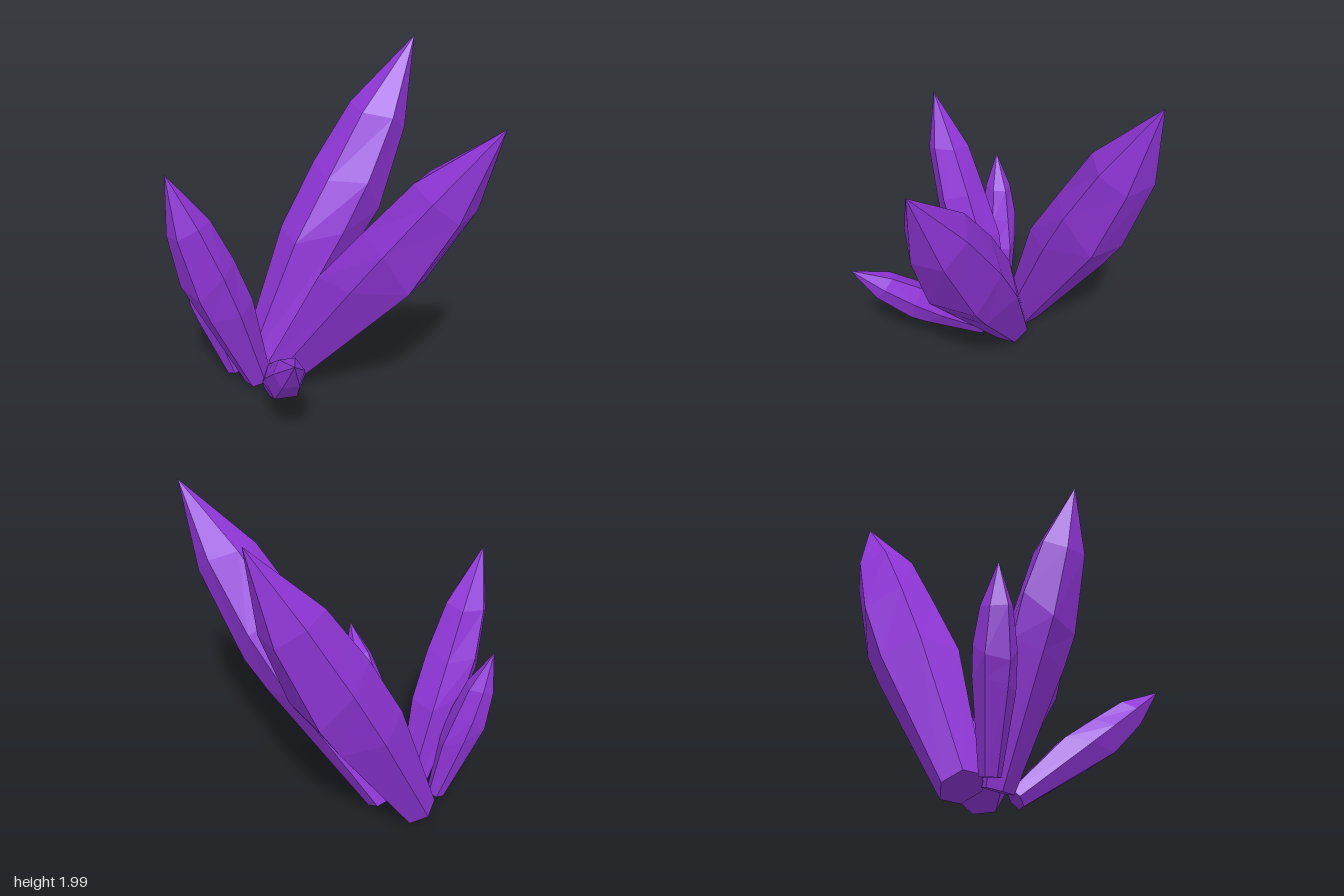
import * as THREE from 'three';

// Unit crystal: six sides; each ring holds per-corner heights (t) and radii (r).
// Corners sit at 30, 90 ... 330 degrees; +x is the underside of a leaning crystal.
const RINGS = [
  { t: [0, 0, 0, 0, 0, 0], r: [0.054, 0.052, 0.052, 0.052, 0.052, 0.054] },
  { t: [0.43, 0.45, 0.37, 0.38, 0.39, 0.41], r: [0.105, 0.102, 0.106, 0.104, 0.105, 0.108] },
  { t: [0.54, 0.60, 0.56, 0.58, 0.58, 0.52], r: [0.118, 0.105, 0.094, 0.100, 0.106, 0.116] },
  { t: [0.77, 0.78, 0.76, 0.77, 0.79, 0.78], r: [0.083, 0.079, 0.079, 0.079, 0.076, 0.085] },
];

function crystalGeometry() {
  const rings = RINGS.map(({ t, r }) => t.map((h, k) => {
    const a = Math.PI / 6 + (k * Math.PI) / 3;
    return new THREE.Vector3(r[k] * Math.cos(a), h, r[k] * Math.sin(a));
  }));
  const foot = new THREE.Vector3(0, 0, 0);
  const tip = new THREE.Vector3(0, 1, 0);
  const pts = [];
  for (let k = 0; k < 6; k++) {
    const n = (k + 1) % 6;
    pts.push(foot, rings[0][k], rings[0][n]);
    for (let i = 0; i < rings.length - 1; i++) {
      const a = rings[i][k], b = rings[i][n], c = rings[i + 1][n], d = rings[i + 1][k];
      pts.push(b, a, d, b, d, c);
    }
    const top = rings[rings.length - 1];
    pts.push(top[n], top[k], tip);
  }
  const geo = new THREE.BufferGeometry().setFromPoints(pts);
  geo.computeVertexNormals(); // unshared corners give flat facets
  return geo;
}

// Foot and tip of every crystal in the cluster
const CRYSTALS = [
  { name: 'tallBackCrystal', foot: [-0.61, 0.06, 0.05], tip: [-0.03, 2.0, -0.85] },
  { name: 'largeLeftCrystal', foot: [-0.41, 0.07, 0.05], tip: [0.91, 1.85, 0.07] },
  { name: 'mediumFrontCrystal', foot: [-0.52, 0.05, 0.19], tip: [-0.70, 1.51, 0.67] },
  { name: 'smallRightCrystal', foot: [-0.67, 0.07, 0.21], tip: [-0.905, 1.04, 0.34] },
  { name: 'smallFrontCrystal', foot: [-0.38, 0.045, 0.23], tip: [0.185, 0.725, 0.845] },
];

export function createModel() {
  const group = new THREE.Group();
  group.name = 'crystalCluster';
  const purple = new THREE.MeshStandardMaterial({ color: 0x9036d8 });
  purple.name = 'amethystPurple';
  const geo = crystalGeometry();

  for (const { name, foot, tip } of CRYSTALS) {
    const base = new THREE.Vector3(...foot);
    const axis = new THREE.Vector3(...tip).sub(base);
    const length = axis.length();
    axis.normalize();
    // local x points outward, the way the crystal leans
    const out = new THREE.Vector3(axis.x, 0, axis.z);
    out.addScaledVector(axis, -out.dot(axis)).normalize();
    const side = new THREE.Vector3().crossVectors(out, axis);

    const crystal = new THREE.Mesh(geo, purple);
    crystal.name = name;
    crystal.quaternion.setFromRotationMatrix(new THREE.Matrix4().makeBasis(out, axis, side));
    crystal.position.copy(base);
    crystal.scale.setScalar(length);
    group.add(crystal);
  }
  return group;
}
